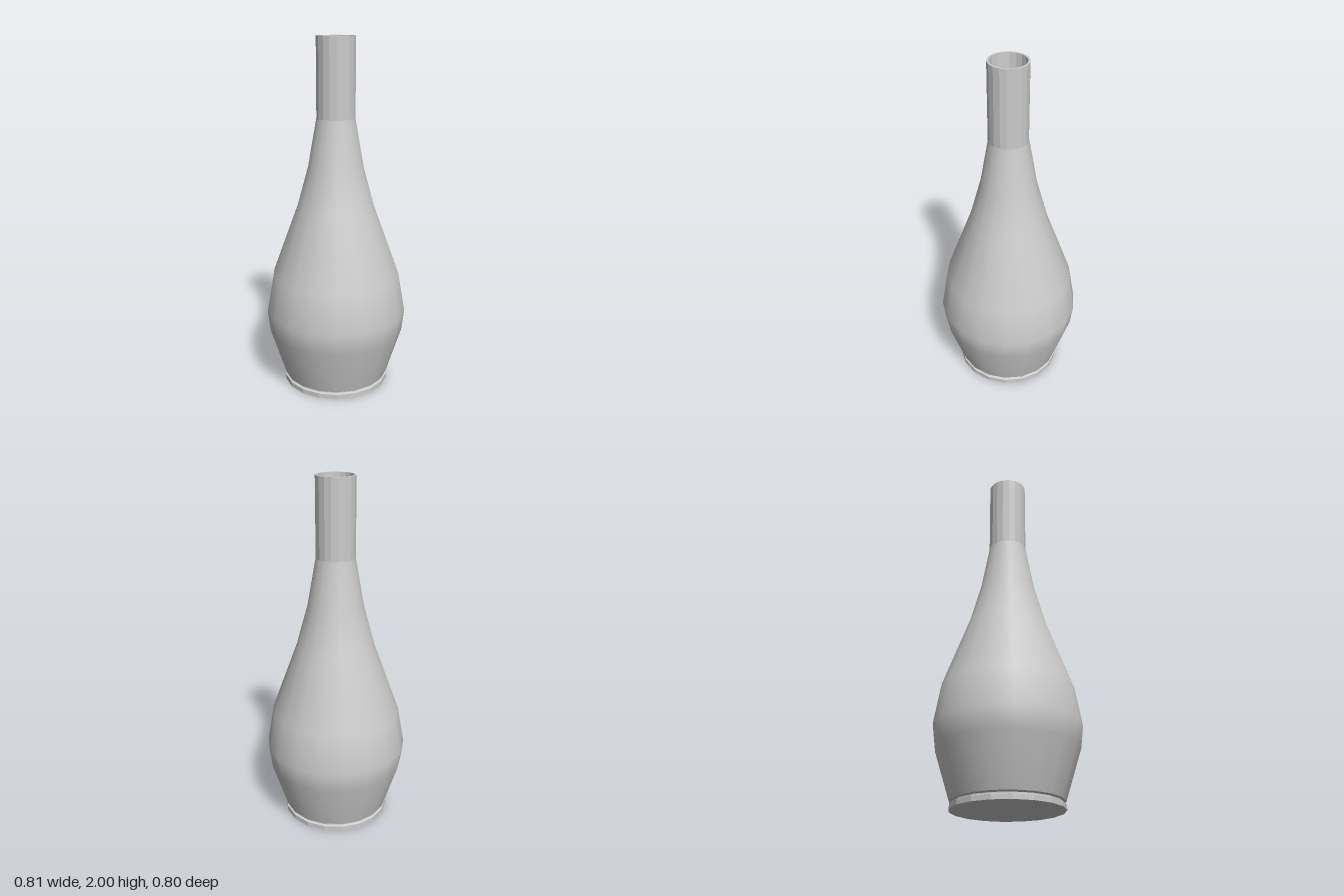
import * as THREE from 'three';

const SIDES = 18;

// Turns a profile of [radius, height] points, listed from the outside bottom upward
function turned(name, profile, flatShading) {
  const points = profile.map(([r, y]) => new THREE.Vector2(r, y));
  const geometry = new THREE.LatheGeometry(points, SIDES, Math.PI / 2);
  const material = new THREE.MeshStandardMaterial({ color: 0xcccccc, flatShading });
  const mesh = new THREE.Mesh(geometry, material);
  mesh.name = name;
  return mesh;
}

export function createModel() {
  const bottle = new THREE.Group();
  bottle.name = 'bottle';

  // Flat foot disc with a narrow groove above it
  bottle.add(turned('foot', [
    [0, 0], [0.305, 0], [0.305, 0.027], [0.292, 0.032], [0.292, 0.038], [0.303, 0.045],
  ], true));

  // Smooth swelling body that narrows to the shoulder
  bottle.add(turned('body', [
    [0.303, 0.045], [0.39, 0.32], [0.405, 0.44], [0.367, 0.66],
    [0.22, 1.06], [0.157, 1.29], [0.109, 1.56],
  ], false));

  // Straight faceted neck with a rim and a tapering bore
  bottle.add(turned('neck', [
    [0.109, 1.56], [0.109, 2], [0.098, 2], [0.081, 1.56], [0, 1.56],
  ], true));

  return bottle;
}
